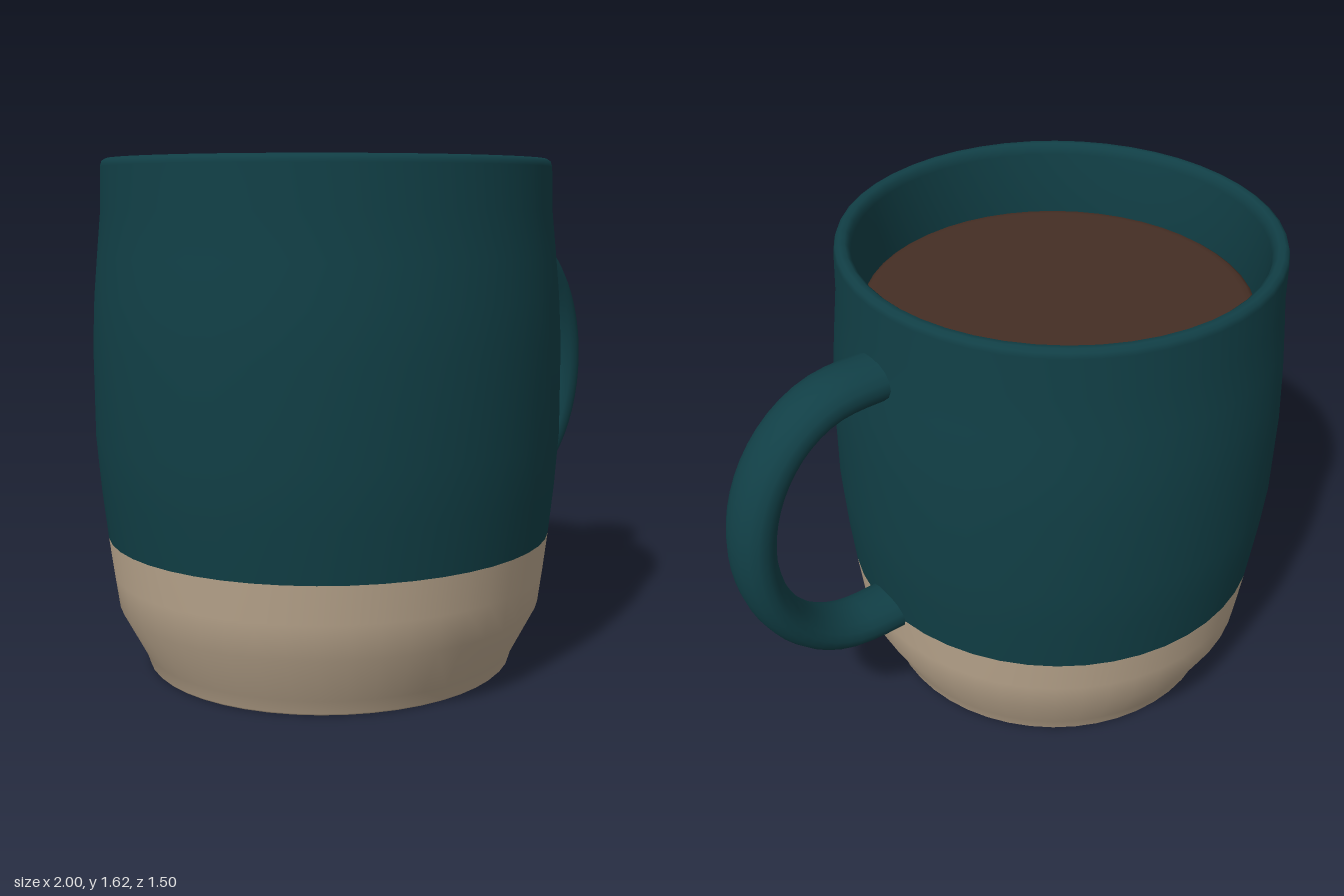
import * as THREE from 'three';

const glaze = new THREE.MeshStandardMaterial({ name: 'teal glaze', color: 0x113f46 });
const clay = new THREE.MeshStandardMaterial({ name: 'bare clay', color: 0xbca88f });
const coffee = new THREE.MeshStandardMaterial({ name: 'coffee brown', color: 0x452e24 });

const AXIS_X = -0.25; // the cup sits left of centre to leave room for the handle

// Turned part from [radius, height] pairs
function turned(name, profile, material) {
  const points = profile.map(([r, y]) => new THREE.Vector2(r, y));
  const mesh = new THREE.Mesh(new THREE.LatheGeometry(points, 48), material);
  mesh.name = name;
  mesh.position.x = AXIS_X;
  return mesh;
}

export function createModel() {
  const mug = new THREE.Group();
  mug.name = 'mug';

  // Unglazed foot with a closed underside
  mug.add(turned('clayBase', [
    [0, 0], [0.57, 0], [0.592, 0], [0.598, 0.006], [0.612, 0.05],
    [0.69, 0.2], [0.705, 0.31], [0.72, 0.43],
  ], clay));

  // Glazed wall: up the outside, over the rounded lip, down the inside to the floor
  mug.add(turned('glazedBody', [
    [0.72, 0.43], [0.737, 0.59], [0.75, 0.76], [0.75, 1.05], [0.742, 1.2],
    [0.73, 1.33], [0.716, 1.47], [0.713, 1.6], [0.708, 1.617], [0.695, 1.625],
    [0.677, 1.624], [0.664, 1.612], [0.659, 1.59], [0.65, 1.48], [0.645, 1.36],
    [0.645, 0.3], [0.58, 0.1], [0, 0.1],
  ], glaze));

  // Drink with a softly rounded edge
  mug.add(turned('coffeeSurface', [
    [0.645, 1.36], [0.637, 1.378], [0.622, 1.388], [0.6, 1.39], [0, 1.39],
  ], coffee));

  // Handle: short straight ends joined by a half ellipse
  const path = [new THREE.Vector3(0.44, 1.364, 0)];
  const steps = 16;
  for (let i = 0; i <= steps; i++) {
    const a = Math.PI / 2 - (Math.PI * i) / steps;
    path.push(new THREE.Vector3(0.56 + 0.373 * Math.cos(a), 0.9 + 0.464 * Math.sin(a), 0));
  }
  path.push(new THREE.Vector3(0.44, 0.436, 0));
  const tube = new THREE.TubeGeometry(new THREE.CatmullRomCurve3(path), 32, 0.067, 16);
  tube.scale(1, 1, 1.5); // widen to an oval section
  const handle = new THREE.Mesh(tube, glaze);
  handle.name = 'handle';
  mug.add(handle);

  return mug;
}
